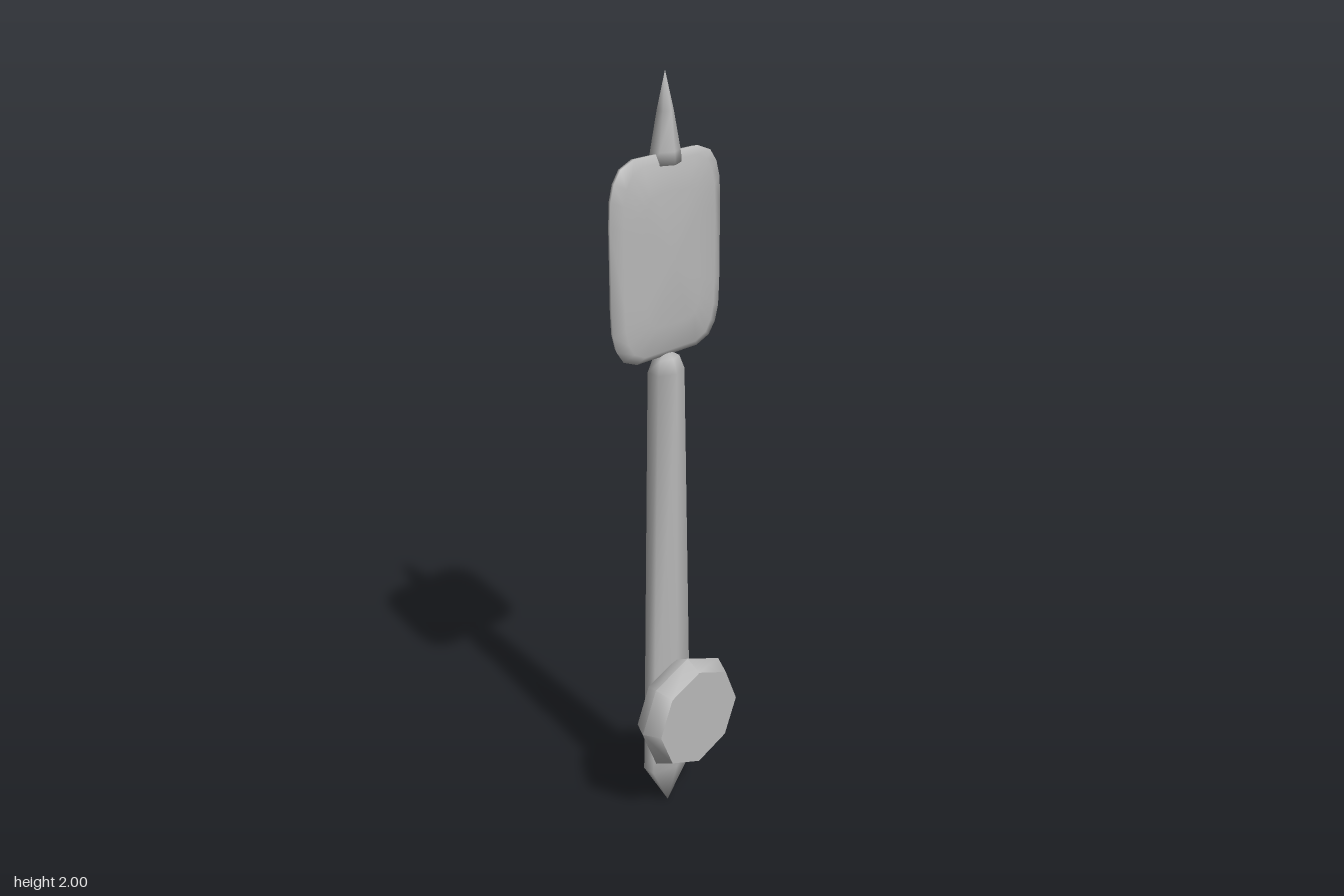
import * as THREE from 'three';
import { toCreasedNormals } from 'three/addons/utils/BufferGeometryUtils.js';

const gray = new THREE.MeshStandardMaterial({ color: 0xb8b8b8 });
gray.name = 'gray';

// Skin a stack of closed rings, capped at both ends by a centre point.
function loft(start, rings, end) {
  const n = rings[0].length;
  const points = [start, ...rings.flat(), end];
  const last = points.length - 1;
  const index = [];
  for (let j = 0; j < n; j++) {
    const k = (j + 1) % n;
    index.push(0, 1 + k, 1 + j);
    for (let i = 0; i < rings.length - 1; i++) {
      const a = 1 + i * n + j, b = 1 + i * n + k;
      index.push(a, b, b + n, a, b + n, a + n);
    }
    index.push(last, last - n + j, last - n + k);
  }
  const geometry = new THREE.BufferGeometry();
  geometry.setAttribute('position', new THREE.Float32BufferAttribute(points.flat(), 3));
  geometry.setIndex(index);
  geometry.computeVertexNormals();
  return geometry;
}

const AXIS_Z = -0.043;

// Six-sided ring around the upright axis: half width in x, half depth in z.
function hexRing([y, width, depth]) {
  return Array.from({ length: 6 }, (_, i) => {
    const a = (i * Math.PI) / 3;
    return [(Math.sin(a) * width) / Math.sin(Math.PI / 3), y, AXIS_Z + Math.cos(a) * depth];
  });
}

export function createModel() {
  const group = new THREE.Group();
  const add = (name, geometry) => {
    const mesh = new THREE.Mesh(geometry, gray);
    mesh.name = name;
    group.add(mesh);
    return mesh;
  };

  // Tapered shaft with a pointed foot and a rounded top
  add('shaft', loft([0, 0, AXIS_Z],
    [[0.13, 0.07, 0.038], [0.19, 0.068, 0.038], [1.28, 0.044, 0.038],
      [1.315, 0.032, 0.026]].map(hexRing),
    [0, 1.335, AXIS_Z]));

  // Spike on top
  add('spike', loft([0, 1.79, AXIS_Z],
    [[1.79, 0.037, 0.034], [1.82, 0.033, 0.032], [1.91, 0.017, 0.021]].map(hexRing),
    [0, 2, AXIS_Z]));

  // Rounded rectangular paddle, thinning towards its rim
  const quarter = [[0.177, 0.1], [0.174, 0.16], [0.163, 0.2], [0.142, 0.23], [0.1, 0.247]];
  const flipped = [...quarter].reverse();
  const outline = [
    ...quarter,
    ...flipped.map(([x, y]) => [-x, y]),
    ...quarter.map(([x, y]) => [-x, -y]),
    ...flipped.map(([x, y]) => [x, -y]),
  ];
  const paddleY = 1.568;
  const paddleRing = ([sx, sy, z]) => outline.map(([x, y]) => [x * sx, paddleY + y * sy, z]);
  add('paddle', loft([0, paddleY, -0.08],
    [[0.5, 0.6, -0.077], [0.83, 0.9, -0.07], [0.95, 0.985, -0.055], [1, 1, -0.039],
      [0.83, 0.93, -0.026], [0.5, 0.65, -0.016]].map(paddleRing),
    [0, paddleY, -0.014]));

  // Eight-sided disc in front of the shaft
  const discRing = ([r, z]) => Array.from({ length: 8 }, (_, i) => {
    const a = (i * Math.PI) / 4;
    return [Math.cos(a) * r, 0.33 + Math.sin(a) * r, z];
  });
  add('disc', toCreasedNormals(loft([0, 0.33, -0.01],
    [[0.139, -0.01], [0.162, 0.035], [0.139, 0.08]].map(discRing),
    [0, 0.33, 0.08]), 1.0));

  return group;
}
